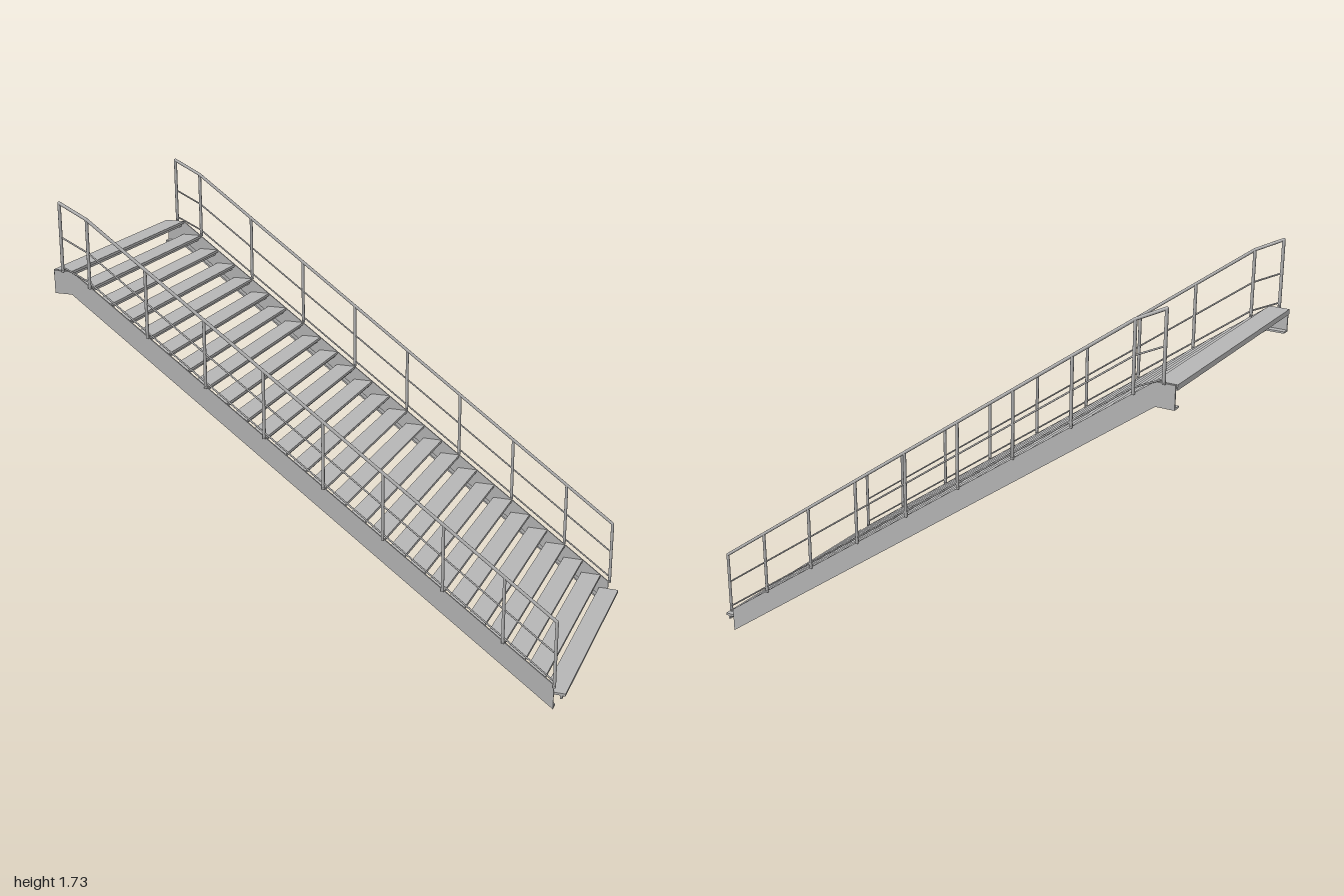
import * as THREE from 'three';

const steel = new THREE.MeshStandardMaterial({ color: 0xb6b6b6 });
steel.name = 'galvanised steel';

const RISE = 0.056, GOING = 0.077, STEPS = 26;
const RAIL_Z = 0.484, SLOPE = 0.7275;

function add(parent, geometry, name) {
  const mesh = new THREE.Mesh(geometry, steel);
  mesh.name = name;
  parent.add(mesh);
  return mesh;
}

// Extrude an x-y outline between two z positions
function slab(points, z0, z1) {
  const shape = new THREE.Shape(points.map(([x, y]) => new THREE.Vector2(x, y)));
  const g = new THREE.ExtrudeGeometry(shape, { depth: z1 - z0, bevelEnabled: false });
  return g.translate(0, 0, z0);
}

// Round bar between two points
function bar(parent, a, b, radius, name) {
  const dir = b.clone().sub(a);
  const mesh = add(parent, new THREE.CylinderGeometry(radius, radius, dir.length(), 12), name);
  mesh.position.copy(a).add(b).multiplyScalar(0.5);
  mesh.quaternion.setFromUnitVectors(new THREE.Vector3(0, 1, 0), dir.normalize());
  return mesh;
}

// Side beam: upright web with a flange turned inward along its lower edge
function stringer(side) {
  const group = new THREE.Group();
  group.name = side > 0 ? 'frontStringer' : 'backStringer';
  const span = (a, b) => (side > 0 ? [a, b] : [-b, -a]);
  const web = [[-1, 1.378], [-0.93, 1.378], [0.957, 0], [0.957, 0.098], [-0.925, 1.465], [-1, 1.465]];
  add(group, slab(web, ...span(0.473, 0.479)), 'web');
  const t = 0.007;
  const flange = [[-1, 1.378], [-0.93, 1.378], [0.957, 0], [0.957, t], [-0.928, 1.378 + t], [-1, 1.378 + t]];
  add(group, slab(flange, ...span(0.447, 0.473)), 'bottomFlange');
  return group;
}

// Posts and three rails that follow the stair pitch
function railing(side) {
  const group = new THREE.Group();
  group.name = side > 0 ? 'frontRailing' : 'backRailing';
  const z = side * RAIL_Z;
  const point = (x, y) => new THREE.Vector3(x, y, z);
  const pitch = (x, yTop) => yTop - SLOPE * (x + 0.85);

  const postX = [-0.96];
  for (let i = 0; i < 8; i++) postX.push(-0.85 + 0.2305 * i);
  postX.push(0.96);
  postX.forEach((x, i) => {
    const base = i === 0 ? 1.463 : pitch(x, 1.408);
    const top = i === 0 ? 1.722 : pitch(x, 1.668);
    bar(group, point(x, base), point(x, top), 0.0062, 'post');
    const bolt = add(group, new THREE.CylinderGeometry(0.003, 0.003, 0.016, 8), 'bolt');
    bolt.rotation.x = Math.PI / 2;
    bolt.position.set(x, base + 0.008, side * 0.482);
  });

  // name, height at the first post, height at the bend, radius
  const rails = [
    ['handrail', 1.722, 1.668, 0.0062],
    ['midRail', 1.595, 1.543, 0.0032],
    ['toeRail', 1.482, 1.432, 0.0032],
  ];
  for (const [name, y0, y1, r] of rails) {
    const path = [point(-0.96, y0), point(-0.85, y1), point(0.96, pitch(0.96, y1))];
    bar(group, path[0], path[1], r, name);
    bar(group, path[1], path[2], r, name);
    path.forEach((p) => add(group, new THREE.SphereGeometry(r, 12, 8), name + 'Joint').position.copy(p));
  }
  return group;
}

export function createModel() {
  const model = new THREE.Group();
  model.name = 'staircase';

  // Treads: flat plate with stiffening lips underneath
  const profile = [
    [0, 0], [-0.08, 0], [-0.08, -0.02], [-0.075, -0.02], [-0.075, -0.009],
    [-0.02, -0.009], [-0.02, -0.023], [-0.012, -0.023], [-0.012, -0.01], [0, -0.01],
  ];
  const treadGeometry = slab(profile, -0.473, 0.473);
  const treads = new THREE.Group();
  treads.name = 'treads';
  for (let i = 0; i < STEPS; i++) {
    add(treads, treadGeometry, 'tread').position.set(1 - GOING * i, 0.067 + RISE * i, 0);
  }
  model.add(treads);

  for (const side of [1, -1]) model.add(stringer(side), railing(side));
  return model;
}
